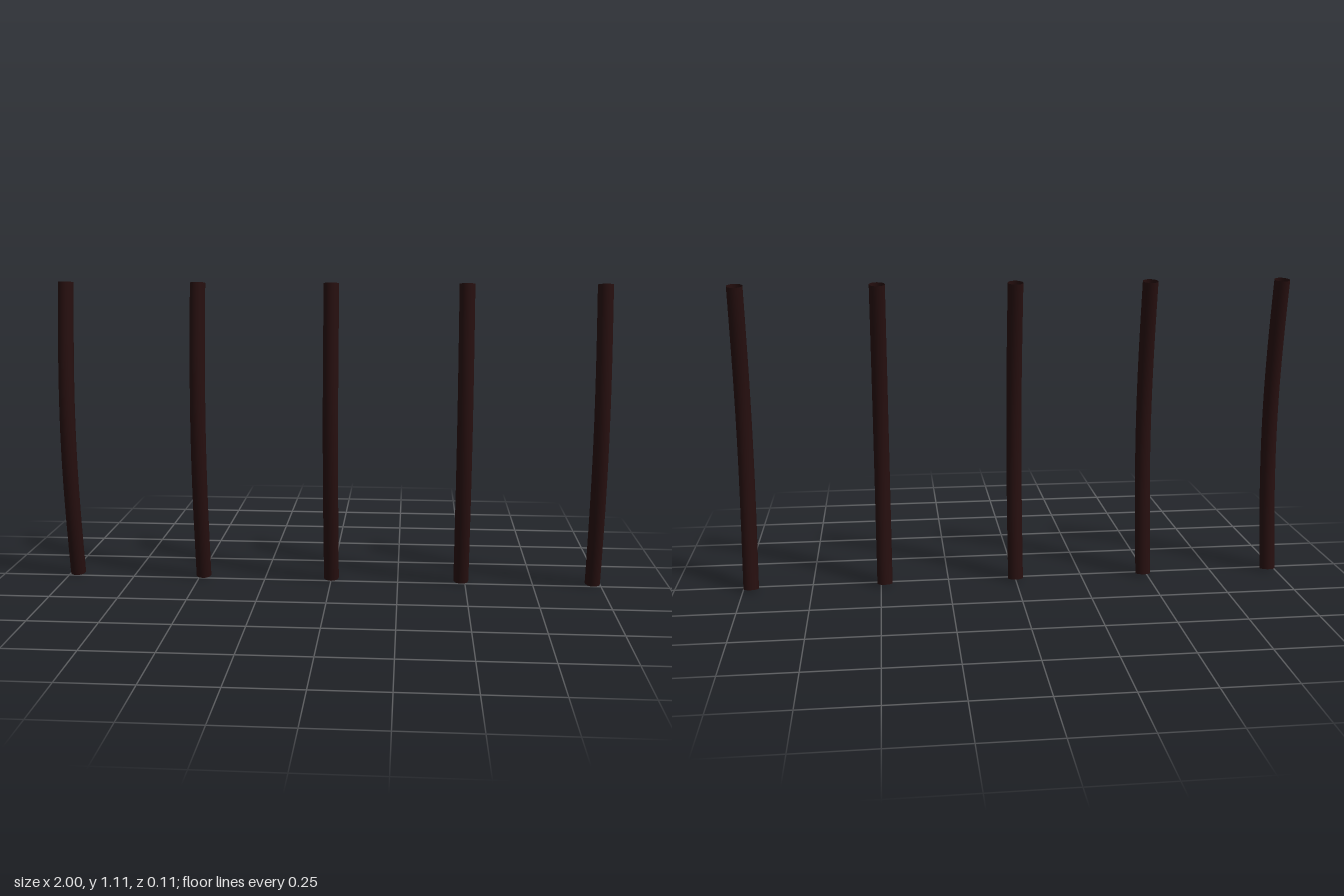
import * as THREE from 'three';

const HEIGHT = 1.105, RADIUS = 0.028, SPACING = 0.486;

// Centre line of a bar: bows gently forward at mid height
class BowCurve extends THREE.Curve {
  getPoint(t, target = new THREE.Vector3()) {
    return target.set(0, 0.003 + t * (HEIGHT - 0.002), -0.027 + 0.055 * Math.sin(Math.PI * t));
  }
}

export function createModel() {
  const group = new THREE.Group();
  group.name = 'bowedBars';

  const darkWood = new THREE.MeshStandardMaterial({ color: 0x260f0f, side: THREE.DoubleSide });
  darkWood.name = 'darkWood';

  // Five identical bars in a row
  const barGeometry = new THREE.TubeGeometry(new BowCurve(), 32, RADIUS, 20, false);
  for (let i = -2; i <= 2; i++) {
    const bar = new THREE.Mesh(barGeometry, darkWood);
    bar.name = `bar${i + 3}`;
    bar.position.x = i * SPACING;
    group.add(bar);
  }
  return group;
}
